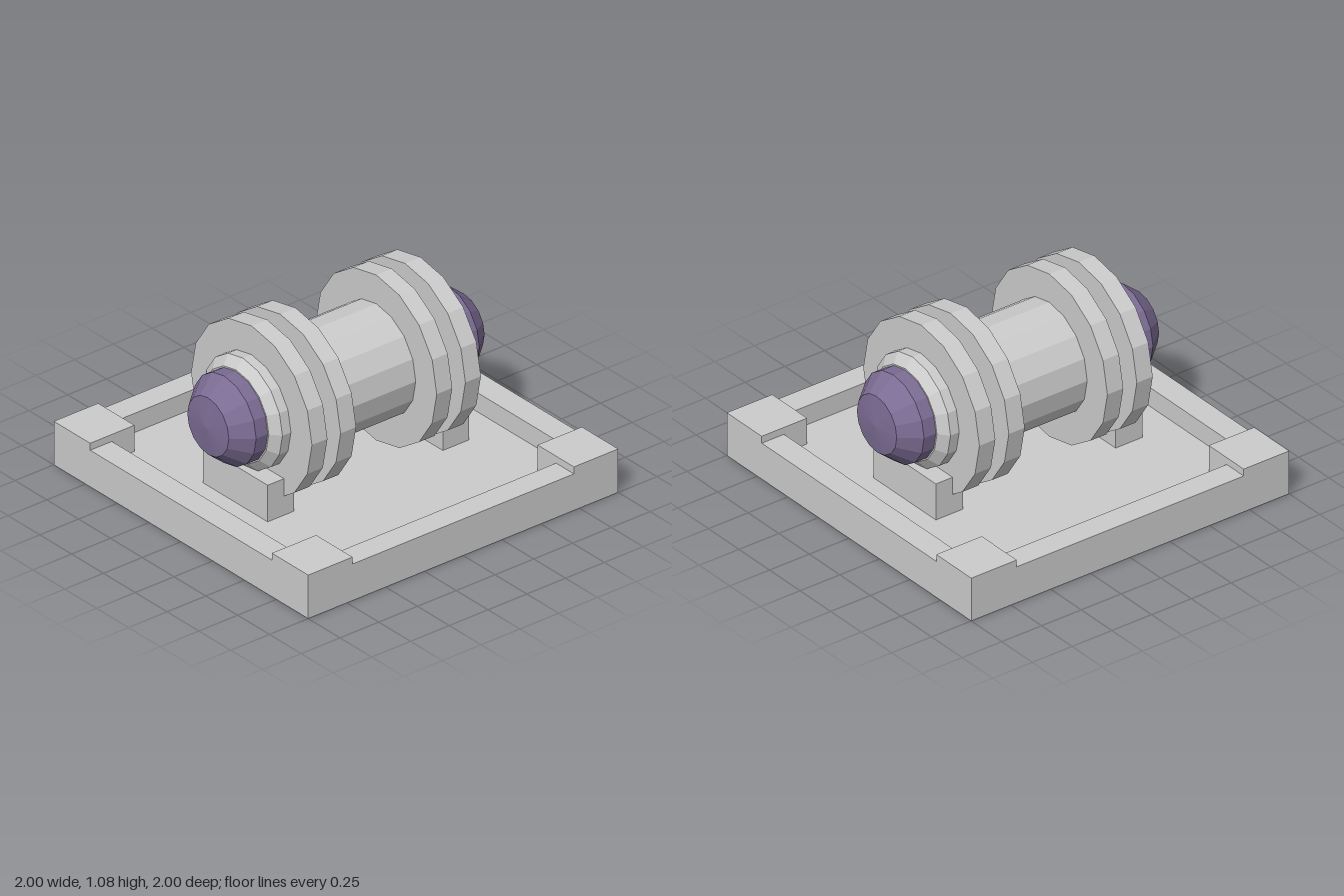
import * as THREE from 'three';

const grey = new THREE.MeshStandardMaterial({ color: 0xcccccc, flatShading: true });
const purple = new THREE.MeshStandardMaterial({ color: 0x7c6c94, flatShading: true });
const SIDES = 16;
const AXIS_Y = 0.6;

export function createModel() {
  const model = new THREE.Group();

  const add = (parent, name, geometry, material = grey) => {
    const mesh = new THREE.Mesh(geometry, material);
    mesh.name = name;
    parent.add(mesh);
    return mesh;
  };

  // Box given by its lowest and highest corners
  const box = (parent, name, [x0, y0, z0], [x1, y1, z1]) =>
    add(parent, name, new THREE.BoxGeometry(x1 - x0, y1 - y0, z1 - z0))
      .position.set((x0 + x1) / 2, (y0 + y1) / 2, (z0 + z1) / 2);

  // Profile of [x, radius] points turned around the x axis
  const turned = (parent, name, profile, material) => {
    const points = profile.map(([x, r]) => new THREE.Vector2(r, x));
    const geometry = new THREE.LatheGeometry(points, SIDES).rotateZ(-Math.PI / 2);
    return add(parent, name, geometry, material);
  };

  // Tray: floor slab, four rims and four raised corner blocks
  const tray = new THREE.Group();
  tray.name = 'tray';
  model.add(tray);
  const floor = 0.1, inner = 0.86, corner = 0.714;
  box(tray, 'floor', [-1, 0, -1], [1, floor, 1]);
  for (let i = 0; i < 4; i++) {
    const side = new THREE.Group();
    side.name = 'traySide';
    side.rotation.y = i * Math.PI / 2;
    box(side, 'rim', [-corner, floor, inner], [corner, 0.21, 1]);
    box(side, 'cornerBlock', [corner, floor, corner], [1, 0.25, 1]);
    tray.add(side);
  }

  // Drum with bevelled ends
  const roller = new THREE.Group();
  roller.name = 'roller';
  roller.position.y = AXIS_Y;
  model.add(roller);
  turned(roller, 'drum', [
    [-0.645, 0], [-0.645, 0.258], [-0.6, 0.31],
    [0.6, 0.31], [0.645, 0.258], [0.645, 0],
  ], grey);

  // Two flanges, a cap and a cradle block at each end
  for (const end of [1, -1]) {
    for (const x of [0.31, 0.495]) {
      const flange = add(roller, 'flange', new THREE.CylinderGeometry(0.475, 0.475, 0.1, SIDES).rotateZ(-Math.PI / 2));
      flange.position.x = end * x;
    }
    const cap = turned(roller, 'endCap', [
      [0.64, 0.25], [0.72, 0.25], [0.825, 0.163], [0.843, 0],
    ], purple);
    if (end < 0) cap.rotation.y = Math.PI;

    const xs = [end * 0.48, end * 0.65].sort((a, b) => a - b);
    box(model, 'cradleBlock', [xs[0], floor, -0.255], [xs[1], 0.31, 0.255]);
  }

  return model;
}
